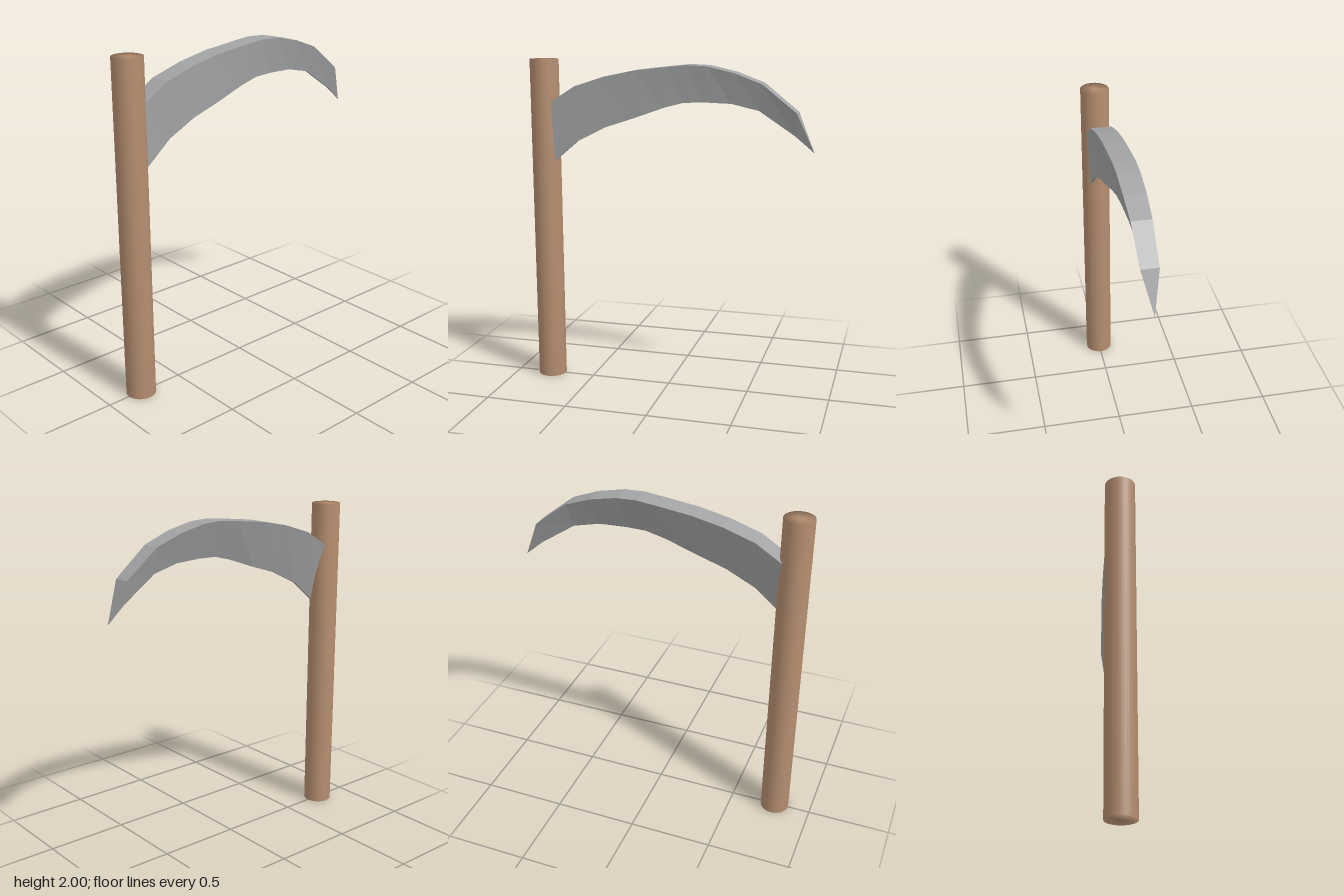
import * as THREE from 'three';
import { mergeVertices } from 'three/addons/utils/BufferGeometryUtils.js';

const wood = new THREE.MeshStandardMaterial({ color: 0xb58e70 });
wood.name = 'wood';
const steel = new THREE.MeshStandardMaterial({ color: 0xa3a4a5 });
steel.name = 'steel';

// Round pole, smoothed over its rims
function makeHandle() {
  let geo = new THREE.CylinderGeometry(0.087, 0.087, 2, 32);
  geo.deleteAttribute('uv');
  geo.deleteAttribute('normal');
  geo = mergeVertices(geo);
  geo.computeVertexNormals();
  const handle = new THREE.Mesh(geo, wood);
  handle.name = 'handle';
  handle.position.set(-0.776, 1, 0);
  return handle;
}

// Curved blade: wedge sections with a thick spine and a thin cutting edge
function makeBlade() {
  // spine x, spine y, edge x, edge y, spine back z, spine front z
  const stations = [
    [-0.715, 1.75, -0.703, 1.39, -0.065, 0.062],
    [-0.565, 1.845, -0.55, 1.52, -0.065, 0.062],
    [-0.38, 1.905, -0.38, 1.605, -0.065, 0.062],
    [-0.2, 1.943, -0.2, 1.665, -0.065, 0.062],
    [0, 1.967, -0.02, 1.73, -0.065, 0.062],
    [0.12, 1.98, 0.1, 1.762, -0.065, 0.062],
    [0.24, 1.975, 0.22, 1.767, -0.065, 0.062],
    [0.4, 1.94, 0.38, 1.762, -0.064, 0.06],
    [0.56, 1.88, 0.54, 1.725, -0.06, 0.054],
    [0.76, 1.72, 0.75, 1.585, -0.055, 0.045],
    [0.86, 1.49, 0.86, 1.49, -0.012, -0.012],
  ];
  const last = stations.length - 1;
  const positions = [];
  const index = [];
  stations.forEach(([sx, sy, ex, ey, back, front], i) => {
    // the cutting edge drifts back towards the point
    const edgeZ = THREE.MathUtils.lerp(0.04, -0.012, (i / last) ** 2);
    const half = i === last ? 0 : 0.008;
    positions.push(sx, sy, back, sx, sy, front, ex, ey, edgeZ + half, ex, ey, edgeZ - half);
    if (i === last) return;
    for (let j = 0; j < 4; j++) {
      const a = i * 4 + j;
      const b = i * 4 + ((j + 1) % 4);
      index.push(a, b, b + 4);
      if (i < last - 1) index.push(a, b + 4, a + 4);
    }
  });
  index.push(0, 2, 1, 0, 3, 2); // end set into the handle
  const indexed = new THREE.BufferGeometry();
  indexed.setAttribute('position', new THREE.Float32BufferAttribute(positions, 3));
  indexed.setIndex(index);
  const geo = indexed.toNonIndexed(); // faceted
  geo.computeVertexNormals();
  const blade = new THREE.Mesh(geo, steel);
  blade.name = 'blade';
  return blade;
}

export function createModel() {
  const scythe = new THREE.Group();
  scythe.name = 'scythe';
  scythe.add(makeHandle(), makeBlade());
  return scythe;
}
